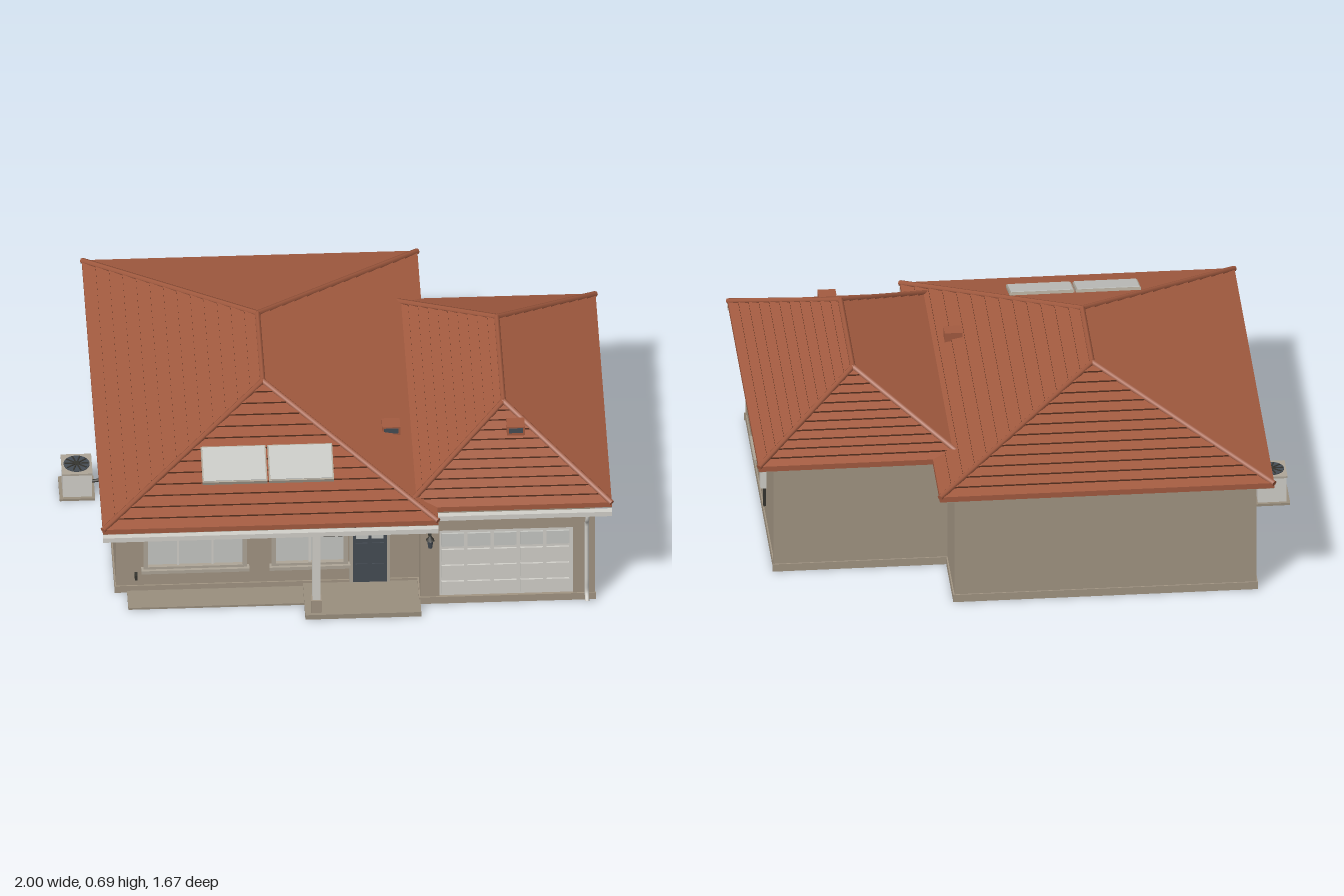
import * as THREE from 'three';

const mat = (name, color, side = THREE.FrontSide) => {
  const m = new THREE.MeshStandardMaterial({ color, side });
  m.name = name;
  return m;
};

export function createModel() {
  const M = {
    wall: mat('stucco', 0xa29583),
    tile: mat('roof tile', 0xa35b40, THREE.DoubleSide),
    groove: mat('tile shadow gap', 0x57301f, THREE.DoubleSide),
    white: mat('white paint', 0xd2d0ca),
    glass: mat('pale glass', 0xc6c7c3),
    trim: mat('window trim', 0xaea698),
    slate: mat('slate paint', 0x454c54),
    metal: mat('dark metal', 0x35342f),
    slab: mat('concrete', 0x9a8f7e),
  };
  const house = new THREE.Group();
  house.name = 'house';

  const add = (parent, name, geo, m, x = 0, y = 0, z = 0) => {
    const mesh = new THREE.Mesh(geo, m);
    mesh.name = name;
    mesh.position.set(x, y, z);
    parent.add(mesh);
    return mesh;
  };
  // box given by its limits
  const box = (parent, name, m, x0, x1, y0, y1, z0, z1) =>
    add(parent, name, new THREE.BoxGeometry(x1 - x0, y1 - y0, z1 - z0), m,
      (x0 + x1) / 2, (y0 + y1) / 2, (z0 + z1) / 2);
  const rect = (T, x0, x1, y0, y1) => new T([[x0, y0], [x1, y0], [x1, y1], [x0, y1]]
    .map(p => new THREE.Vector2(...p)));
  const rod = (parent, name, m, a, b, r, sides = 6) => {
    const va = new THREE.Vector3(...a), vb = new THREE.Vector3(...b), d = vb.clone().sub(va);
    const mesh = add(parent, name, new THREE.CylinderGeometry(r, r, d.length(), sides), m);
    mesh.position.copy(va).addScaledVector(d, 0.5);
    mesh.quaternion.setFromUnitVectors(new THREE.Vector3(0, 1, 0), d.normalize());
  };

  // wall panel: local x along the wall, local +z outward
  const H = 0.455;
  const wall = (name, w, x, z, turn, holes = []) => {
    const g = new THREE.Group();
    g.name = name;
    g.position.set(x, 0, z);
    g.rotation.y = turn;
    const s = rect(THREE.Shape, -w / 2, w / 2, 0, H);
    holes.forEach(h => s.holes.push(rect(THREE.Path, ...h)));
    add(g, name + 'Panel', new THREE.ExtrudeGeometry(s, { depth: 0.015, bevelEnabled: false }),
      M.wall, 0, 0, -0.015);
    box(g, 'plinth', M.wall, -w / 2 - 0.004, w / 2 + 0.004, 0, 0.03, -0.001, 0.005);
    house.add(g);
    return g;
  };
  // framed window with mullions and a sill
  const window_ = (parent, [x0, x1, y0, y1], panes) => {
    const g = new THREE.Group();
    g.name = 'window';
    parent.add(g);
    const f = rect(THREE.Shape, x0, x1, y0, y1), t = 0.016;
    f.holes.push(rect(THREE.Path, x0 + t, x1 - t, y0 + t, y1 - t));
    add(g, 'windowFrame', new THREE.ExtrudeGeometry(f, { depth: 0.03, bevelEnabled: false }), M.trim, 0, 0, -0.015);
    box(g, 'windowGlass', M.glass, x0 + 0.01, x1 - 0.01, y0 + 0.01, y1 - 0.01, -0.008, -0.001);
    for (let i = 1; i < panes; i++) {
      const x = x0 + (x1 - x0) * i / panes;
      box(g, 'mullion', M.white, x - 0.004, x + 0.004, y0 + t, y1 - t, -0.002, 0.007);
    }
    box(g, 'windowSill', M.trim, x0 - 0.008, x1 + 0.008, y0 - 0.008, y0 + 0.006, 0, 0.026);
  };
  const lantern = (parent, x) => {
    box(parent, 'lampBracket', M.metal, x - 0.006, x + 0.006, 0.31, 0.322, 0, 0.03);
    add(parent, 'lampCap', new THREE.ConeGeometry(0.017, 0.02, 6), M.metal, x, 0.32, 0.028);
    add(parent, 'lampGlass', new THREE.CylinderGeometry(0.013, 0.008, 0.035, 6), M.slate, x, 0.293, 0.028);
  };

  // main block walls, x -0.82..0.29, z -0.76..0.56
  const C = -0.265;
  const wBig = [-0.72 - C, -0.34 - C, 0.105, 0.33], wMid = [-0.25 - C, 0.03 - C, 0.105, 0.33];
  const front = wall('mainFrontWall', 1.11, C, 0.56, 0, [wBig, wMid]);
  window_(front, wBig, 3);
  window_(front, wMid, 2);
  wall('mainBackWall', 1.11, C, -0.76, Math.PI);
  wall('mainRearReturnWall', 0.29, 0.29, -0.615, Math.PI / 2);
  const wLeft = [-0.27, -0.11, 0.14, 0.31];
  const left = wall('mainLeftWall', 1.32, -0.82, -0.1, -Math.PI / 2, [wLeft]);
  window_(left, wLeft, 2);
  // garage walls, x 0.29..0.93, z -0.47..0.68
  const gDoor = [-0.25, 0.24, 0.03, 0.33];
  const gFront = wall('garageFrontWall', 0.64, 0.61, 0.68, 0, [gDoor]);
  wall('garageBackWall', 0.64, 0.61, -0.47, Math.PI);
  wall('garagePartyWall', 1.15, 0.29, 0.105, -Math.PI / 2);
  const wRight = [-0.165, 0.005, 0.15, 0.305];
  const right = wall('garageRightWall', 1.15, 0.925, 0.105, Math.PI / 2, [wRight]);
  window_(right, wRight, 2);

  // garage door with raised panels
  box(gFront, 'garageDoor', M.white, ...gDoor, -0.013, -0.006);
  for (let r = 0; r < 4; r++) for (let c = 0; c < 5; c++) {
    const x = -0.243 + c * 0.0965, y = 0.038 + r * 0.073;
    box(gFront, 'garageDoorPanel', r === 3 ? M.glass : M.white, x, x + 0.083, y, y + 0.058, -0.007, 0.001);
  }
  lantern(gFront, 0.325 - 0.61);
  lantern(front, 0.22 - C);

  // entrance door
  const door = new THREE.Group();
  door.name = 'entranceDoor';
  door.position.set(0.11, 0, 0.56);
  house.add(door);
  box(door, 'doorFrame', M.trim, -0.075, 0.075, 0.02, 0.345, 0, 0.008);
  box(door, 'doorLeaf', M.slate, -0.062, 0.062, 0.025, 0.335, 0.004, 0.014);
  box(door, 'doorHood', M.white, -0.09, 0.09, 0.34, 0.36, 0, 0.03);
  for (const s of [-1, 1]) {
    const p = new THREE.Shape();
    p.moveTo(-0.022, 0);
    p.lineTo(0.022, 0);
    p.lineTo(0.022, 0.07);
    p.absarc(0, 0.07, 0.022, 0, Math.PI);
    add(door, 'doorLight', new THREE.ExtrudeGeometry(p, { depth: 0.004, bevelEnabled: false }), M.glass, s * 0.028, 0.225, 0.013);
    box(door, 'doorPanel', M.slate, s * 0.03 - 0.022, s * 0.03 + 0.022, 0.04, 0.11, 0.013, 0.018);
    box(door, 'doorPanel', M.slate, s * 0.03 - 0.022, s * 0.03 + 0.022, 0.125, 0.205, 0.013, 0.018);
  }
  // wall plaque and garden tap
  box(house, 'plaque', M.metal, -0.06, 0.01, 0.243, 0.27, 0.575, 0.583);
  for (const x of [-0.042, -0.008]) box(house, 'plaqueTile', M.tile, x - 0.012, x + 0.012, 0.248, 0.265, 0.582, 0.586);
  box(house, 'gardenTap', M.metal, -0.752, -0.742, 0.07, 0.09, 0.56, 0.585);

  // porch, front path and post
  box(house, 'porchSlab', M.slab, -0.135, 0.29, 0, 0.02, 0.56, 0.76);
  box(house, 'frontPath', M.slab, -0.78, -0.135, 0, 0.008, 0.56, 0.67);
  box(house, 'postBase', M.wall, -0.113, -0.074, 0.02, 0.075, 0.708, 0.747);
  box(house, 'porchPost', M.white, -0.108, -0.079, 0.07, 0.44, 0.713, 0.742);
  box(house, 'postCap', M.white, -0.116, -0.071, 0.42, 0.435, 0.705, 0.75);

  // hip roof made of stepped tile courses
  const hipRoof = (name, x0, x1, z0, z1, y0, y1, n) => {
    const g = new THREE.Group();
    g.name = name;
    house.add(g);
    const hw = (x1 - x0) / 2, lip = 0.006;
    const ring = (t, dy) => {
      const d = hw * t, y = y0 + (y1 - y0) * t + dy;
      return [[x0 + d, y, z1 - d], [x1 - d, y, z1 - d], [x1 - d, y, z0 + d], [x0 + d, y, z0 + d]];
    };
    const tiles = [], gaps = [];
    const band = (out, lo, hi) => {
      for (let j = 0; j < 4; j++) {
        const k = (j + 1) % 4;
        out.push(...lo[j], ...lo[k], ...hi[k], ...lo[j], ...hi[k], ...hi[j]);
      }
    };
    band(tiles, ring(0, H - y0), ring(0, lip));
    for (let i = 0; i < n; i++) {
      if (i) band(gaps, ring(i / n, 0), ring(i / n, lip));
      band(tiles, ring(i / n, lip), ring((i + 1) / n, 0));
    }
    for (const [nm, pos, m] of [['tileCourses', tiles, M.tile], ['courseGaps', gaps, M.groove]]) {
      const geo = new THREE.BufferGeometry();
      geo.setAttribute('position', new THREE.Float32BufferAttribute(pos, 3));
      geo.computeVertexNormals();
      add(g, nm, geo, m);
    }
    box(g, 'soffit', M.wall, x0 + 0.001, x1 - 0.001, H - 0.002, H + 0.004, z0 + 0.001, z1 - 0.001);
    // hip and ridge caps
    const e = ring(0, 0.004), r = ring(1, 0.002);
    for (let j = 0; j < 4; j++) rod(g, 'hipCap', M.tile, e[j], r[j], 0.011);
    rod(g, 'ridgeCap', M.tile, r[0], r[2], 0.011);
  };
  hipRoof('mainRoof', -0.88, 0.35, -0.83, 0.81, 0.47, 0.673, 13);
  hipRoof('garageRoof', 0.23, 0.99, -0.54, 0.73, 0.47, 0.667, 11);

  // roof vents
  for (const [x, y, z] of [[0.2, 0.535, 0.305], [0.65, 0.63, 0.45]]) {
    box(house, 'roofVent', M.tile, x - 0.033, x + 0.033, y - 0.025, y + 0.014, z - 0.028, z + 0.028);
    box(house, 'ventGrille', M.slate, x - 0.026, x + 0.026, y - 0.012, y + 0.008, z + 0.026, z + 0.031);
  }
  // roof panels lying on the front slope
  for (const x of [-0.387, -0.143]) {
    const p = new THREE.Group();
    p.name = 'roofPanel';
    p.position.set(x, 0.567, 0.555);
    p.rotation.x = Math.atan(0.203 / 0.615);
    house.add(p);
    box(p, 'panelFrame', M.trim, -0.119, 0.119, -0.012, 0.004, -0.08, 0.08);
    box(p, 'panelGlass', M.glass, -0.114, 0.114, 0, 0.007, -0.075, 0.075);
  }

  // gutters and downspout
  box(house, 'mainGutter', M.white, -0.88, 0.35, 0.432, 0.452, 0.808, 0.83);
  box(house, 'garageGutter', M.white, 0.35, 0.99, 0.432, 0.452, 0.733, 0.755);
  const path = new THREE.CatmullRomCurve3([[0.44, 0.745], [0.41, 0.74], [0.365, 0.697], [0.33, 0.692],
    [0.1, 0.692], [0.04, 0.692], [0.015, 0.715]].map(([y, z]) => new THREE.Vector3(0.9, y, z)));
  add(house, 'downspout', new THREE.TubeGeometry(path, 32, 0.008, 8), M.white);

  // service boxes on the right wall
  box(right, 'meterBox', M.white, 0.19, 0.237, 0.16, 0.235, 0, 0.022);
  box(right, 'meterConduit', M.metal, 0.209, 0.218, 0.075, 0.16, 0, 0.01);
  box(right, 'wallVent', M.white, -0.325, -0.27, 0.04, 0.06, 0, 0.008);
  // service box on the left wall
  box(left, 'switchBox', M.white, 0.02, 0.06, 0.18, 0.24, 0, 0.026);
  box(left, 'upperConduit', M.groove, 0.034, 0.046, 0.24, 0.3, 0, 0.012);
  box(left, 'lowerConduit', M.metal, 0.036, 0.044, 0.06, 0.18, 0, 0.01);

  // outdoor cooling unit with a fan on top
  const ac = new THREE.Group();
  ac.name = 'coolingUnit';
  ac.position.set(-0.935, 0, -0.07);
  house.add(ac);
  box(ac, 'unitPad', M.slab, -0.065, 0.065, 0, 0.009, -0.07, 0.07);
  box(ac, 'unitBody', M.white, -0.053, 0.053, 0.009, 0.108, -0.058, 0.058);
  box(ac, 'unitLid', M.trim, -0.056, 0.056, 0.108, 0.116, -0.061, 0.061);
  add(ac, 'fanWell', new THREE.CylinderGeometry(0.048, 0.048, 0.004, 24), M.slate, 0, 0.117, 0);
  for (let i = 0; i < 5; i++) {
    const b = add(ac, 'fanBlade', new THREE.BoxGeometry(0.088, 0.003, 0.005), M.metal, 0, 0.12, 0);
    b.rotation.y = i * Math.PI / 5;
  }
  rod(ac, 'coolantPipe', M.metal, [0.05, 0.05, 0.02], [0.118, 0.06, 0.02], 0.006, 8);
  return house;
}
